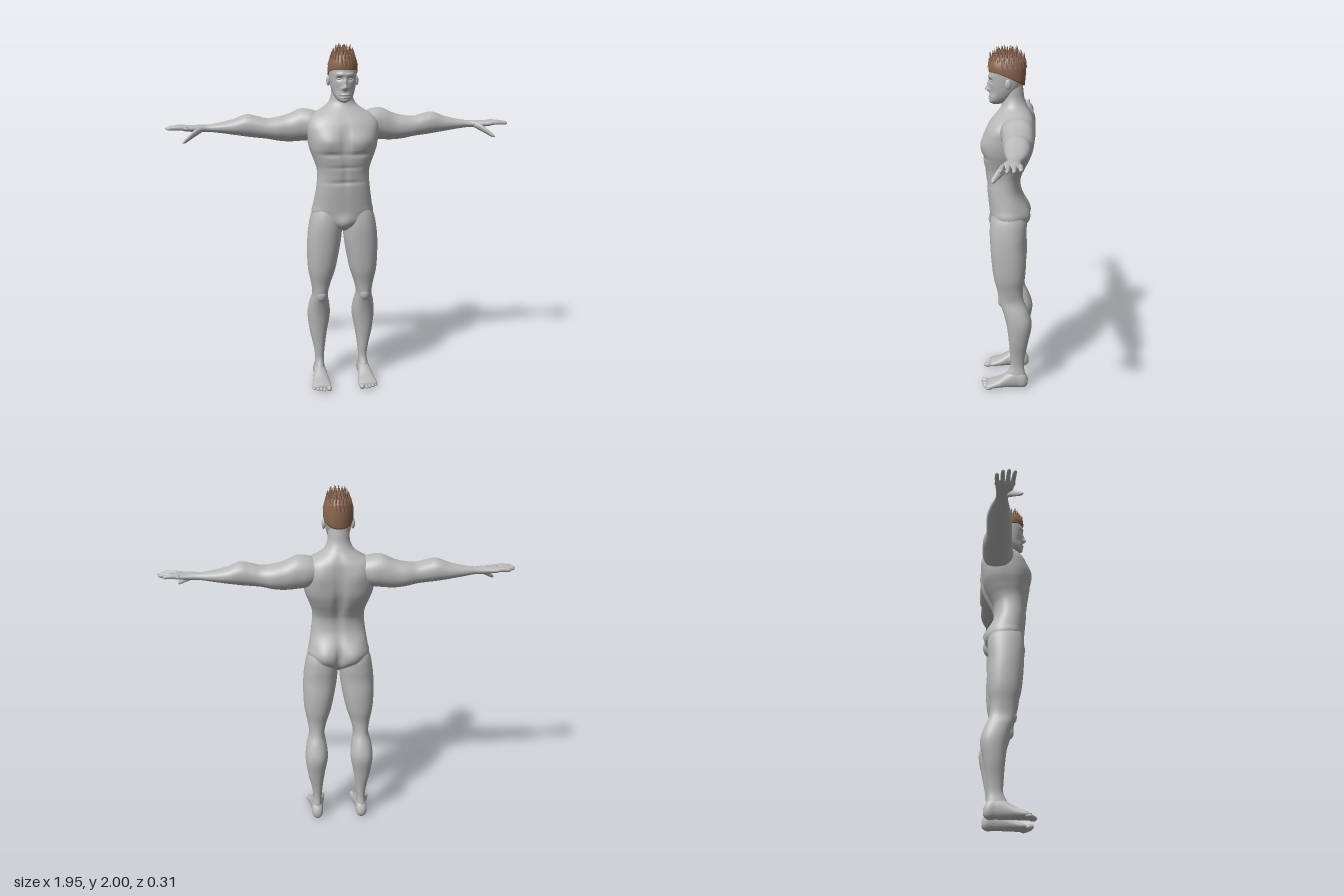
import * as THREE from 'three';

const skin = new THREE.MeshStandardMaterial({ color: 0xb8b8b8 });
skin.name = 'grey skin';
const hair = new THREE.MeshStandardMaterial({ color: 0x8a6650 });
hair.name = 'brown hair';

// Axis order (a, b, t) of a loft running along t
const AXES = { x: ['y', 'z', 'x'], y: ['z', 'x', 'y'], z: ['x', 'y', 'z'] };

// Smooth skin through sections [t, aMin, aMax, bMin, bMax, squareness]
function loft(axis, rows, steps = 48, n = 40) {
  const spline = new THREE.CubicInterpolant(
    new Float32Array(rows.map(r => r[0])),
    new Float32Array(rows.flatMap(r => [r[1], r[2], r[3], r[4], r[5] ?? 2.2])), 5);
  const pos = [], idx = [], p = new THREE.Vector3();
  const [A, B, T] = AXES[axis];
  const put = (a, b, t) => { p[A] = a; p[B] = b; p[T] = t; pos.push(p.x, p.y, p.z); };
  const t0 = rows[0][0], t1 = rows[rows.length - 1][0];
  const power = (c, e) => Math.sign(c) * Math.abs(c) ** (2 / e);
  for (let k = 0; k <= steps; k++) {
    const t = t0 + (t1 - t0) * k / steps;
    const [a0, a1, b0, b1, e] = spline.evaluate(t);
    for (let j = 0; j < n; j++) {
      const w = j / n * Math.PI * 2;
      put((a0 + a1) / 2 + (a1 - a0) / 2 * power(Math.cos(w), e),
        (b0 + b1) / 2 + (b1 - b0) / 2 * power(Math.sin(w), e), t);
      if (k === steps) continue;
      const i = k * n + j, m = k * n + (j + 1) % n;
      idx.push(i, m, m + n, i, m + n, i + n);
    }
  }
  // End caps
  [[rows[0], 0], [rows[rows.length - 1], steps * n]].forEach(([r, base], end) => {
    put((r[1] + r[2]) / 2, (r[3] + r[4]) / 2, r[0]);
    const c = pos.length / 3 - 1;
    for (let j = 0; j < n; j++) {
      const i = base + j, m = base + (j + 1) % n;
      idx.push(c, end ? i : m, end ? m : i);
    }
  });
  const g = new THREE.BufferGeometry();
  g.setAttribute('position', new THREE.Float32BufferAttribute(pos, 3));
  g.setIndex(idx);
  g.computeVertexNormals();
  return g;
}

// Symmetric section [t, zMin, zMax, halfWidth, squareness]
const sym = rows => rows.map(([t, z0, z1, w, e]) => [t, z0, z1, -w, w, e]);

// Soft muscle bumps: centre, spread, push (mirrored in x)
function sculpt(g, bumps) {
  const P = g.attributes.position;
  for (let i = 0; i < P.count; i++) {
    const x = P.getX(i), y = P.getY(i), z = P.getZ(i);
    let dy = 0, dz = 0;
    for (const [cx, cy, cz, sx, sy, sz, py, pz] of bumps) {
      const d = ((Math.abs(x) - cx) / sx) ** 2 + ((y - cy) / sy) ** 2 + ((z - cz) / sz) ** 2;
      const f = Math.exp(-d);
      dy += py * f; dz += pz * f;
    }
    P.setXYZ(i, x, y + dy, z + dz);
  }
  g.computeVertexNormals();
  return g;
}

function mirrored(g) {
  const m = g.clone().scale(-1, 1, 1), ix = m.index.array;
  for (let i = 0; i < ix.length; i += 3) [ix[i], ix[i + 1]] = [ix[i + 1], ix[i]];
  m.computeVertexNormals();
  return m;
}

function ball(x, y, z, rx, ry, rz) {
  return new THREE.SphereGeometry(1, 20, 14).scale(rx, ry, rz).translate(x, y, z);
}

export function createModel() {
  const model = new THREE.Group();
  model.name = 'figure';
  const add = (name, g, mat = skin) => {
    const m = new THREE.Mesh(g, mat);
    m.name = name;
    model.add(m);
  };
  const pair = (name, g) => { add('left' + name, g); add('right' + name, mirrored(g)); };

  // Torso and neck
  add('torso', sculpt(loft('y', sym([
    [0.95, -0.04, 0.06, 0.025, 2], [0.975, -0.08, 0.085, 0.08, 2.1], [1.0, -0.1, 0.095, 0.14, 2.2],
    [1.05, -0.11, 0.1, 0.176, 2.3], [1.1, -0.105, 0.105, 0.168, 2.4], [1.2, -0.075, 0.115, 0.152, 2.4],
    [1.27, -0.078, 0.12, 0.146, 2.4], [1.31, -0.095, 0.125, 0.15, 2.5], [1.36, -0.12, 0.133, 0.167, 2.6],
    [1.42, -0.142, 0.138, 0.188, 2.8], [1.5, -0.15, 0.13, 0.2, 2.9], [1.56, -0.148, 0.11, 0.198, 2.8],
    [1.6, -0.142, 0.083, 0.175, 2.5], [1.635, -0.127, 0.055, 0.118, 2.2], [1.66, -0.112, 0.038, 0.084, 2],
    [1.7, -0.094, 0.03, 0.063, 2], [1.75, -0.086, 0.03, 0.058, 2], [1.8, -0.08, 0.03, 0.055, 2]]), 120, 96), [
    [0.09, 1.465, 0.13, 0.07, 0.05, 0.07, 0, 0.016],    // chest
    [0, 1.47, 0.14, 0.015, 0.08, 0.06, 0, -0.012],      // breastbone
    [0.08, 1.395, 0.14, 0.09, 0.014, 0.06, 0, -0.007],  // chest crease
    [0, 1.27, 0.12, 0.014, 0.1, 0.05, 0, -0.006],       // stomach lines
    [0, 1.32, 0.125, 0.09, 0.01, 0.05, 0, -0.004],
    [0, 1.235, 0.12, 0.1, 0.012, 0.05, 0, -0.006],
    [0, 1.0, 0.095, 0.04, 0.04, 0.05, 0, 0.014],        // groin
    [0, 1.37, -0.13, 0.025, 0.2, 0.07, 0, 0.022],       // spine
    [0.1, 1.53, -0.14, 0.05, 0.06, 0.06, 0, -0.009],    // shoulder blades
    [0.085, 1.05, -0.1, 0.065, 0.07, 0.08, 0, -0.028],  // buttocks
    [0, 1.03, -0.11, 0.016, 0.075, 0.07, 0, 0.02]]));

  // Arms
  pair('Arm', loft('x', [
    [0.1, 1.49, 1.6, -0.12, 0.02], [0.17, 1.46, 1.628, -0.145, 0.035], [0.23, 1.453, 1.633, -0.15, 0.025],
    [0.3, 1.45, 1.603, -0.15, 0.015], [0.36, 1.456, 1.588, -0.148, 0.014], [0.42, 1.468, 1.582, -0.135, 0.01],
    [0.47, 1.474, 1.594, -0.134, 0.006], [0.53, 1.481, 1.605, -0.137, 0], [0.6, 1.492, 1.58, -0.133, -0.008],
    [0.68, 1.504, 1.561, -0.117, -0.022], [0.75, 1.512, 1.551, -0.097, -0.032], [0.79, 1.511, 1.552, -0.096, -0.02],
    [0.84, 1.516, 1.551, -0.102, -0.008], [0.875, 1.521, 1.55, -0.106, -0.004], [0.887, 1.53, 1.543, -0.09, -0.02]], 72, 40));

  // Fingers: [tip x, root z, tip z]
  [[0.94, -0.094, -0.1], [0.968, -0.068, -0.07], [0.976, -0.042, -0.04], [0.966, -0.017, -0.009]].forEach(([tip, za, zb], i) => {
    const rows = [[0, 0.011], [0.35, 0.0115], [0.7, 0.0105], [0.93, 0.008], [1, 0.002]].map(([s, r]) => {
      const z = za + (zb - za) * s, y = 1.536 + 0.004 * Math.sin(s * 3);
      return [0.85 + (tip - 0.85) * s, y - r, y + r, z - r, z + r];
    });
    pair('Finger' + (i + 1), loft('x', rows, 16, 14));
  });
  pair('Thumb', loft('x', [
    [0.77, 1.517, 1.54, -0.055, -0.03], [0.8, 1.5, 1.538, -0.043, -0.004], [0.83, 1.483, 1.518, -0.018, 0.016],
    [0.855, 1.468, 1.496, 0.004, 0.03], [0.872, 1.461, 1.48, 0.018, 0.037], [0.88, 1.463, 1.47, 0.027, 0.034]], 24, 18));

  // Legs
  pair('Leg', loft('y', [
    [0.03, -0.11, 0, 0.102, 0.165], [0.08, -0.11, 0.004, 0.104, 0.164], [0.13, -0.102, -0.02, 0.106, 0.157],
    [0.2, -0.108, -0.02, 0.1, 0.165], [0.3, -0.126, -0.012, 0.086, 0.187], [0.42, -0.145, 0.004, 0.067, 0.2],
    [0.5, -0.122, 0.025, 0.076, 0.189], [0.55, -0.1, 0.044, 0.085, 0.176], [0.62, -0.092, 0.055, 0.071, 0.183],
    [0.7, -0.104, 0.075, 0.045, 0.199], [0.8, -0.11, 0.088, 0.024, 0.205], [0.9, -0.106, 0.095, 0.008, 0.203],
    [0.97, -0.11, 0.098, 0.003, 0.195], [1.04, -0.105, 0.092, 0.003, 0.18], [1.12, -0.06, 0.07, 0.03, 0.14]], 80, 40));
  pair('Kneecap', ball(0.128, 0.555, 0.025, 0.03, 0.04, 0.026));

  // Feet and toes
  pair('Foot', loft('z', [
    [-0.125, 0.118, 0.148, 0.02, 0.055], [-0.11, 0.104, 0.163, 0.003, 0.085], [-0.06, 0.1, 0.168, 0, 0.11],
    [0, 0.094, 0.175, 0, 0.09], [0.05, 0.087, 0.185, 0, 0.058], [0.1, 0.083, 0.193, 0, 0.038],
    [0.12, 0.09, 0.188, 0.004, 0.028]], 40, 32));
  for (let i = 0; i < 5; i++) {
    const r = i ? 0.0105 : 0.016;
    pair('Toe' + (i + 1), ball(i ? 0.105 + i * 0.0195 : 0.098, r, 0.131 - i * i * 0.0016, r, r, i ? 0.02 : 0.024));
  }

  // Head and face
  add('head', sculpt(loft('y', sym([
    [1.674, 0.045, 0.08, 0.012, 2.2], [1.685, 0.01, 0.096, 0.034, 2.2], [1.705, -0.02, 0.1, 0.05, 2.2],
    [1.735, -0.05, 0.1, 0.062, 2.2], [1.77, -0.075, 0.1, 0.07, 2.2], [1.82, -0.092, 0.103, 0.076, 2.2],
    [1.87, -0.096, 0.098, 0.076, 2.2], [1.91, -0.085, 0.085, 0.062, 2.1], [1.94, -0.05, 0.05, 0.035, 2]]), 110, 110), [
    [0, 1.757, 0.1, 0.011, 0.014, 0.04, 0, 0.022],      // nose
    [0, 1.782, 0.1, 0.009, 0.02, 0.04, 0, 0.012],
    [0.013, 1.752, 0.1, 0.007, 0.007, 0.03, 0, 0.008],
    [0.03, 1.803, 0.095, 0.016, 0.011, 0.04, 0, -0.011], // eye sockets
    [0.028, 1.826, 0.1, 0.03, 0.009, 0.04, 0, 0.006],   // brow
    [0, 1.716, 0.1, 0.02, 0.006, 0.04, 0, 0.007],       // lips
    [0, 1.704, 0.1, 0.016, 0.006, 0.04, 0, 0.006],
    [0, 1.71, 0.1, 0.025, 0.003, 0.04, 0, -0.007],
    [0.045, 1.74, 0.08, 0.018, 0.025, 0.03, 0, -0.006], // cheeks
    [0, 1.682, 0.095, 0.02, 0.01, 0.03, 0, 0.006]]));
  pair('Eye', ball(0.03, 1.803, 0.08, 0.012, 0.008, 0.011));
  pair('Ear', ball(0.079, 1.79, -0.005, 0.011, 0.028, 0.018).rotateX(0));

  // Hair cap, its lower edge dropping towards the nape
  const cap = loft('y', sym([
    [1.85, -0.098, 0.104, 0.081, 2.2], [1.88, -0.101, 0.105, 0.08, 2.2], [1.91, -0.093, 0.098, 0.069, 2.1],
    [1.935, -0.073, 0.08, 0.052, 2], [1.955, -0.025, 0.035, 0.02, 2]]), 24, 48);
  const C = cap.attributes.position;
  for (let i = 0; i < C.count; i++) {
    const low = THREE.MathUtils.clamp((1.9 - C.getY(i)) / 0.05, 0, 1);
    const drop = THREE.MathUtils.clamp((0.08 - C.getZ(i)) / 0.18, 0, 1) ** 1.5;
    C.setY(i, C.getY(i) - low * drop * 0.075);
    C.setZ(i, C.getZ(i) + low * drop * drop * 0.006);
  }
  cap.computeVertexNormals();
  add('hairCap', cap, hair);

  // Rings of upright hair spikes: [y, half width, half depth, count, length]
  let seed = 7;
  const rand = () => (seed = (seed * 16807) % 2147483647) / 2147483647;
  const up = new THREE.Vector3(0, 1, 0);
  [[1.88, 0.073, 0.097, 24, 0.055], [1.9, 0.066, 0.09, 22, 0.06], [1.92, 0.054, 0.076, 18, 0.06],
    [1.935, 0.038, 0.054, 13, 0.06], [1.945, 0.02, 0.03, 7, 0.055], [1.945, 0, 0, 1, 0.055]].forEach(([y, rx, rz, count, len], ring) => {
    for (let i = 0; i < count; i++) {
      const w = (i + ring % 2 / 2) / count * Math.PI * 2, l = len * (0.8 + 0.25 * rand());
      const g = new THREE.ConeGeometry(0.0105, l, 6).translate(0, l / 2 - 0.008, 0);
      const lean = new THREE.Vector3(Math.cos(w) * (rx > 0.06 ? -0.1 : 0.08), 1, Math.sin(w) * 0.08);
      g.applyQuaternion(new THREE.Quaternion().setFromUnitVectors(up, lean.normalize()));
      add('hairSpike', g.translate(Math.cos(w) * rx, y, Math.sin(w) * rz + 0.003), hair);
    }
  });
  return model;
}
